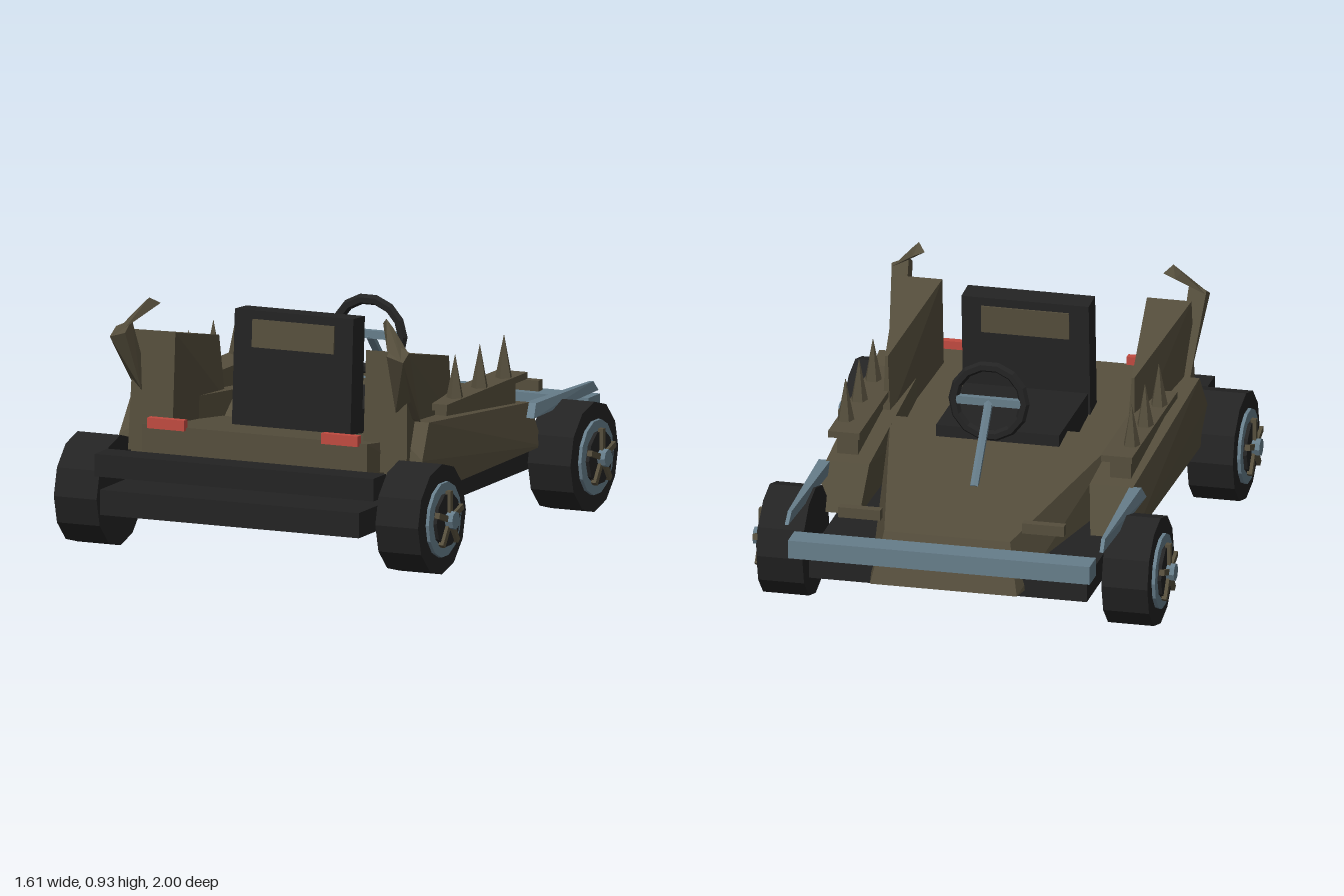
import * as THREE from 'three';
import { ConvexGeometry } from 'three/addons/geometries/ConvexGeometry.js';

const mat = (name, color) => {
  const m = new THREE.MeshStandardMaterial({ color });
  m.name = name;
  m.flatShading = true;
  return m;
};

export function createModel() {
  const olive = mat('olive bodywork', 0x554e3c);
  const black = mat('black rubber', 0x232323);
  const steel = mat('blue steel', 0x667d8a);
  const red = mat('red lamp', 0xc04a40);
  const model = new THREE.Group();

  const add = (name, geo, material, x = 0, y = 0, z = 0, parent = model) => {
    const m = new THREE.Mesh(geo, material);
    m.name = name;
    m.position.set(x, y, z);
    parent.add(m);
    return m;
  };
  // box given by its minimum and maximum on each axis
  const box = (name, material, x0, x1, y0, y1, z0, z1) =>
    add(name, new THREE.BoxGeometry(Math.abs(x1 - x0), y1 - y0, z1 - z0), material,
      (x0 + x1) / 2, (y0 + y1) / 2, (z0 + z1) / 2);
  // flat-faced solid around corner points; s mirrors x
  const solid = (name, material, pts, s = 1) =>
    add(name, new ConvexGeometry(pts.map(([x, y, z]) => new THREE.Vector3(x * s, y, z))), material);
  const both = (pts) => pts.flatMap(([x, y, z]) => [[x, y, z], [-x, y, z]]);
  // straight bar between two points
  const rod = (name, material, a, b, r, sides) => {
    const A = new THREE.Vector3(...a), B = new THREE.Vector3(...b);
    const m = add(name, new THREE.CylinderGeometry(r, r, A.distanceTo(B), sides), material);
    m.position.copy(A).lerp(B, 0.5);
    m.quaternion.setFromUnitVectors(new THREE.Vector3(0, 1, 0), B.clone().sub(A).normalize());
    return m;
  };

  // chassis and bumpers
  box('chassis', black, -0.53, 0.53, 0.165, 0.26, -0.86, 1);
  box('rearBumper', black, -0.57, 0.57, 0.3, 0.385, 0.85, 0.96);
  box('rearBumperMount', black, -0.4, 0.4, 0.31, 0.37, 0.76, 0.86);
  box('noseBumper', steel, -0.575, 0.575, 0.29, 0.36, -1, -0.9);

  // tapered hood with a sloping dash, and the rear deck
  solid('hood', olive, both([
    [0.24, 0.38, -0.87], [0.28, 0.19, -0.93], [0.44, 0.48, 0.04],
    [0.47, 0.2, 0.04], [0.44, 0.38, 0.17], [0.46, 0.2, 0.17],
  ]));
  solid('rearDeck', olive, both([
    [0.45, 0.4, 0.165], [0.46, 0.2, 0.165], [0.46, 0.475, 0.78], [0.46, 0.27, 0.78], [0.46, 0.2, 0.7],
  ]));

  // seat
  box('seatCushion', black, -0.235, 0.235, 0.38, 0.51, -0.09, 0.36);
  const seatBack = new THREE.Group();
  seatBack.name = 'seatBack';
  seatBack.position.set(0, 0.64, 0.4);
  seatBack.rotation.x = -0.06;
  model.add(seatBack);
  add('backrest', new THREE.BoxGeometry(0.485, 0.45, 0.1), black, 0, 0, 0, seatBack);
  for (const s of [1, -1])
    add('backrestPanel', new THREE.BoxGeometry(0.335, 0.105, 0.008), olive, 0, 0.14, s * 0.052, seatBack);

  // steering
  const steering = add('steeringWheel', new THREE.TorusGeometry(0.135, 0.02, 6, 14), black, 0, 0.675, -0.22);
  steering.rotation.x = 0.06;
  box('steeringCrossbar', steel, -0.125, 0.125, 0.66, 0.69, -0.235, -0.21);
  rod('steeringColumn', steel, [0, 0.675, -0.22], [0, 0.42, -0.45], 0.017, 6);

  for (const s of [1, -1]) {
    // side pod
    solid('sidePod', olive, [
      [0.42, 0.53, 0.56], [0.61, 0.53, 0.56], [0.42, 0.265, 0.65], [0.62, 0.265, 0.65], [0.62, 0.4, 0.64],
      [0.42, 0.44, -0.37], [0.585, 0.44, -0.37], [0.44, 0.265, -0.44], [0.605, 0.265, -0.44],
    ], s);
    // tall wedge beside the seat
    solid('rearFin', olive, [
      [0.39, 0.8, 0.64], [0.56, 0.8, 0.64], [0.39, 0.35, 0.67], [0.57, 0.35, 0.67],
      [0.465, 0.69, 0.1], [0.475, 0.69, 0.1], [0.45, 0.45, 0.08], [0.48, 0.45, 0.08],
    ], s);
    // bent exhaust
    solid('exhaustLower', olive, [
      [0.52, 0.53, 0.56], [0.575, 0.53, 0.56], [0.52, 0.58, 0.66], [0.575, 0.62, 0.645],
      [0.535, 0.85, 0.71], [0.6, 0.82, 0.71], [0.535, 0.81, 0.77], [0.6, 0.79, 0.765],
    ], s);
    solid('exhaustTip', olive, [
      [0.54, 0.84, 0.7], [0.595, 0.81, 0.7], [0.535, 0.83, 0.765], [0.595, 0.79, 0.765],
      [0.455, 0.905, 0.63], [0.5, 0.885, 0.63], [0.485, 0.93, 0.665], [0.515, 0.9, 0.67],
    ], s);
    // spiked rail
    box('spikeRail', olive, s * 0.46, s * 0.58, 0.53, 0.555, -0.36, 0.34);
    box('railSupport', olive, s * 0.48, s * 0.56, 0.43, 0.535, -0.3, 0.3);
    for (const z of [0.195, -0.02, -0.23])
      add('spike', new THREE.ConeGeometry(0.034, 0.17, 5), olive, s * 0.545, 0.635, z);
    // tapering bar past the nose wheel
    solid('wheelGuard', steel, [
      [0.57, 0.39, -0.32], [0.625, 0.39, -0.32], [0.57, 0.44, -0.36], [0.615, 0.44, -0.36],
      [0.593, 0.39, -0.92], [0.607, 0.39, -0.92], [0.59, 0.43, -0.88], [0.605, 0.43, -0.88],
    ], s);
    // lamps
    box('noseLamp', olive, s * 0.27, s * 0.43, 0.395, 0.435, -0.81, -0.775);
    box('tailLamp', red, s * 0.28, s * 0.43, 0.465, 0.505, 0.77, 0.8);

    // wheels, built along y and turned outwards
    for (const z of [0.735, -0.59]) {
      const wheel = new THREE.Group();
      wheel.name = z > 0 ? 'rearWheel' : 'noseWheel';
      wheel.position.set(0, 0.208, z);
      wheel.rotation.z = -s * Math.PI / 2;
      model.add(wheel);
      const disc = (name, material, r, from, to, sides) =>
        add(name, new THREE.CylinderGeometry(r, r, to - from, sides), material, 0, (from + to) / 2, 0, wheel);
      disc('axle', steel, 0.025, 0.48, 0.6, 8);
      disc('tyre', black, 0.208, 0.57, 0.745, 12);
      disc('rim', steel, 0.142, 0.74, 0.758, 14);
      disc('rimCentre', black, 0.103, 0.75, 0.772, 10);
      for (let i = 0; i < 5; i++) {
        const a = i * Math.PI * 2 / 5 + Math.PI;
        const spoke = add('spoke', new THREE.BoxGeometry(0.1, 0.02, 0.022), olive,
          s * Math.cos(a) * 0.06, 0.775, Math.sin(a) * 0.06, wheel);
        spoke.rotation.y = -Math.atan2(Math.sin(a), s * Math.cos(a));
      }
      disc('hub', steel, 0.034, 0.75, 0.803, 8);
    }
  }
  return model;
}
